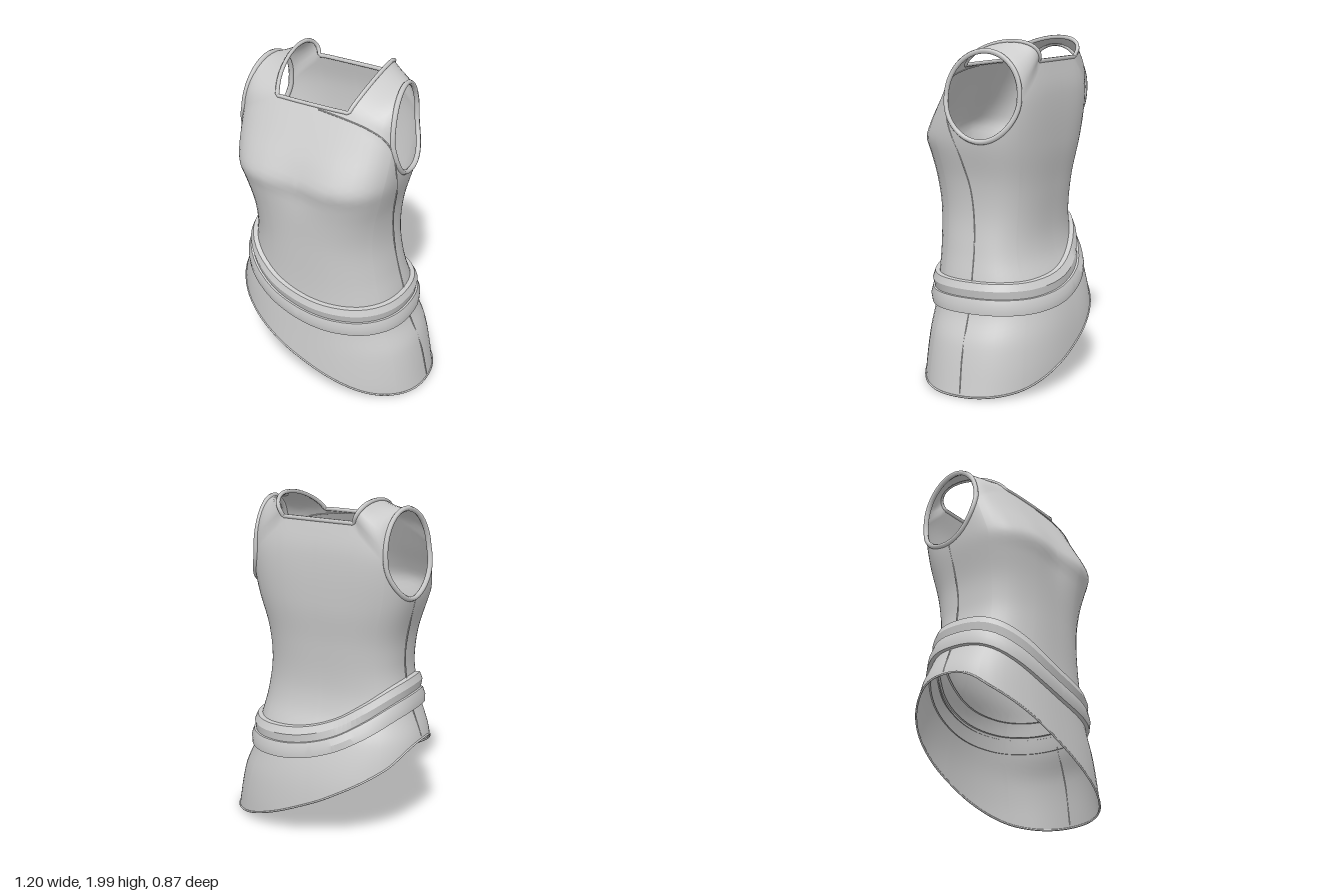
import * as THREE from 'three';
import { mergeVertices, mergeGeometries, toCreasedNormals } from 'three/addons/utils/BufferGeometryUtils.js';

const lerp = THREE.MathUtils.lerp;
const CX = -0.07; // torso axis

// Smooth curve through [y, value] knots, clamped at both ends
function knots(k) {
  const slope = (i) => {
    const a = k[Math.max(i - 1, 0)], b = k[Math.min(i + 1, k.length - 1)];
    return (b[1] - a[1]) / (b[0] - a[0]);
  };
  return (y) => {
    if (y <= k[0][0]) return k[0][1];
    if (y >= k[k.length - 1][0]) return k[k.length - 1][1];
    let i = 0;
    while (y > k[i + 1][0]) i++;
    const d = k[i + 1][0] - k[i][0], t = (y - k[i][0]) / d, u = 1 - t;
    return u * u * (1 + 2 * t) * k[i][1] + t * t * (3 - 2 * t) * k[i + 1][1]
      + d * t * u * (u * slope(i) - t * slope(i + 1));
  };
}

// Silhouettes by height
const leftX = knots([[0, 0.595], [0.3, 0.53], [0.46, 0.46], [0.65, 0.42], [0.8, 0.385], [1, 0.355], [1.2, 0.365], [1.45, 0.42], [1.7, 0.43], [1.9, 0.41]]);
const rightX = knots([[0.4, -0.61], [0.6, -0.595], [0.8, -0.52], [0.95, -0.485], [1.05, -0.478], [1.2, -0.49], [1.45, -0.55], [1.7, -0.56], [1.9, -0.54]]);
const frontZ = knots([[0, 0.43], [0.1, 0.432], [0.45, 0.405], [0.7, 0.388], [1, 0.39], [1.2, 0.4], [1.34, 0.417], [1.43, 0.435], [1.5, 0.405], [1.65, 0.315], [1.85, 0.2]]);
const backZ = knots([[0, -0.43], [0.18, -0.432], [0.4, -0.41], [0.62, -0.35], [0.75, -0.29], [0.9, -0.265], [1.15, -0.28], [1.4, -0.31], [1.7, -0.315], [1.9, -0.28]]);
const frontN = knots([[0, 2.3], [1, 2.5], [1.43, 3.3], [1.85, 3]]);
const backN = knots([[0, 2.3], [1, 2.6], [1.4, 3], [1.7, 4]]);
// Slanted lines by x
const hemY = knots([[-0.6, 0.6], [-0.5, 0.48], [-0.2, 0.3], [0, 0.205], [0.2, 0.12], [0.4, 0.05], [0.6, 0.012]]);
const beltY = knots([[-0.54, 0.88], [-0.48, 0.84], [-0.35, 0.74], [-0.2, 0.65], [0, 0.585], [0.25, 0.555], [0.45, 0.552]]);

// Point on the garment: side (+1 left, -1 right), angle from front (0) to back (PI), height
function skin(side, a, y, out = 0) {
  const c = Math.cos(a), s = Math.sin(a);
  const n = lerp(frontN(y), backN(y), (1 - c) / 2);
  const r = 1 / Math.pow(Math.abs(c) ** n + Math.abs(s) ** n, 1 / n);
  const w = side > 0 ? leftX(y) - CX : CX - rightX(y);
  const dip = c > 0 ? 0.025 * Math.exp(-((a / 0.3) ** 2) - ((y - 1.42) / 0.14) ** 2) : 0;
  const d = c > 0 ? frontZ(y) - dip : -backZ(y);
  return new THREE.Vector3(CX + side * (w * r + out) * s, y, (d * r + out) * c);
}

function bisect(inside, lo, hi) {
  for (let i = 0; i < 40; i++) {
    const m = (lo + hi) / 2;
    if (inside(m)) hi = m; else lo = m;
  }
  return hi;
}

// Height where a column meets a slanted line
function lineHeight(line, side, a, y) {
  for (let i = 0; i < 12; i++) y = lerp(y, line(skin(side, a, y).x), 0.6);
  return y;
}

// Surface from a table of points; columns run front to back, rows upward
function grid(cols, flip) {
  const h = cols[0].length, index = [];
  for (let i = 0; i < cols.length - 1; i++) for (let j = 0; j < h - 1; j++) {
    const a = i * h + j, b = a + h, c = b + 1, d = a + 1;
    index.push(...(flip ? [a, c, b, a, d, c] : [a, b, c, a, c, d]));
  }
  const g = new THREE.BufferGeometry().setFromPoints(cols.flat());
  g.setIndex(index);
  return g;
}

const NECK_F = 1.84, NECK_B = 1.88, ARM_Y = 1.69, ARM_F = 0.17, ARM_B = -0.265, ARM_H = 0.25;
const steps = (n) => Array.from({ length: n + 1 }, (_, i) => i / n);

// One half of the garment, with its edge lines
function half(side) {
  const across = (a, y) => Math.abs(skin(side, a, y).x - CX);
  const neckF = bisect((a) => across(a, NECK_F) > 0.22, 0, 1.5);
  const armF = bisect((a) => skin(side, a, ARM_Y).z < ARM_F, 0, 1.6);
  const armB = bisect((a) => skin(side, a, ARM_Y).z < ARM_B, 1.5, 3.1);
  const neckB = bisect((a) => across(a, NECK_B) < 0.22, 1.7, Math.PI);
  const zc = (ARM_F + ARM_B) / 2, zw = (ARM_F - ARM_B) / 2;
  const armHeight = (a) => bisect((y) => {
    const z = skin(side, a, y).z;
    return ((z - zc) / zw) ** 2 + ((y - ARM_Y) / ARM_H) ** 2 < 1;
  }, 1.3, ARM_Y);

  // Columns [angle, top height]: neck, strap, armhole, strap, neck
  const neck1 = steps(9).map((t) => [t * neckF, NECK_F]);
  const strap1 = steps(6).map((t) => [lerp(neckF, armF, t), lerp(NECK_F, ARM_Y, t)]);
  const arm = steps(20).map((t) => {
    const a = lerp(armF, armB, (1 - Math.cos(t * Math.PI)) / 2);
    return [a, t === 0 || t === 1 ? ARM_Y : armHeight(a)];
  });
  const strap2 = steps(6).map((t) => [lerp(armB, neckB, t), lerp(ARM_Y, NECK_B, t)]);
  const neck2 = steps(9).map((t) => [lerp(neckB, Math.PI, t), NECK_B]);
  const columns = [...neck1, ...strap1.slice(1), ...arm.slice(1), ...strap2.slice(1), ...neck2.slice(1)];
  const top = ([a, y]) => skin(side, a, y);

  const body = columns.map(([a, y1]) => {
    const y0 = lineHeight(hemY, side, a, 0.3);
    return steps(44).map((t) => skin(side, a, lerp(y0, y1, t)));
  });

  // Shoulder strap arching from front to back
  const strap = strap1.map((f, i) => {
    const p = top(f), q = top(strap2[6 - i]), s = i / 6;
    return steps(16).map((t) => {
      const up = Math.sin(t * Math.PI);
      const v = p.clone().lerp(q, (1 - Math.cos(t * Math.PI)) / 2);
      v.x += side * lerp(0.06, -0.015, s) * up;
      v.y += lerp(0.128, ARM_H, s ** 1.5) * up;
      v.z += lerp(-0.08, -0.01, s) * up;
      return v;
    });
  });
  const flip = side < 0;
  return {
    angles: columns.map((c) => c[0]),
    surfaces: [grid(body, flip), grid(strap, flip)],
    hem: body.map((c) => c[0]),
    armhole: [...arm.map(top), ...strap[6].slice(1, -1).reverse()],
    neck: [...neck1.map(top), ...strap[0].slice(1, -1), ...neck2.map(top)],
  };
}

export function createModel() {
  const group = new THREE.Group();
  const material = new THREE.MeshStandardMaterial({ color: 0xcccccc, side: THREE.DoubleSide });
  const add = (name, geometry) => {
    const mesh = new THREE.Mesh(geometry, material);
    mesh.name = name;
    group.add(mesh);
  };
  const tube = (name, points, radius, closed) => add(name, new THREE.TubeGeometry(
    new THREE.CatmullRomCurve3(points, closed, 'centripetal'), closed ? 140 : 60, radius, 6, closed));

  const L = half(1), R = half(-1);
  const ring = (key) => [...L[key], ...R[key].slice(1, -1).reverse()];

  // Sleeveless body with straps
  const body = mergeVertices(mergeGeometries([...L.surfaces, ...R.surfaces]), 1e-4);
  body.computeVertexNormals();
  add('topBody', body);

  // Bound edges
  tube('neckTrim', ring('neck'), 0.012, true);
  tube('hemTrim', ring('hem'), 0.006, true);
  tube('leftArmholeTrim', L.armhole, 0.015, true);
  tube('rightArmholeTrim', R.armhole, 0.015, true);

  // Slanted belt of two ridged bands: [height from middle, distance out]
  const bands = {
    upperBeltBand: [[0.095, -0.01], [0.09, 0.026], [0.05, 0.036], [0, 0.018], [-0.01, -0.01]],
    lowerBeltBand: [[0.01, -0.01], [0.002, 0.03], [-0.04, 0.036], [-0.085, 0.022], [-0.09, -0.01]],
  };
  for (const [name, profile] of Object.entries(bands)) {
    const halves = [[1, L], [-1, R]].map(([side, h]) => grid(h.angles.map((a) => {
      const y = lineHeight(beltY, side, a, 0.65);
      return profile.map(([dy, out]) => skin(side, a, y + dy, out)).reverse();
    }), side < 0));
    add(name, toCreasedNormals(mergeVertices(mergeGeometries(halves), 1e-4), 0.5));
  }

  // Seams: curved front panel edge, side seams above and below the belt
  const seam = (name, side, path) => tube(name, path.map(([deg, y]) => skin(side, deg * Math.PI / 180, y)), 0.004, false);
  seam('frontPanelSeam', 1, [[90, 0.62], [88, 0.9], [84, 1.15], [78, 1.35], [69, 1.52], [60, 1.65], [50, 1.73], [38, 1.78], [22, 1.81], [5, 1.825]]);
  seam('rightSideSeam', -1, [[90, 0.9], [90, 1.1], [92, 1.3], [94, 1.44]]);
  seam('leftSkirtSeam', 1, [[90, 0.48], [91, 0.25], [92, 0.03]]);
  seam('rightSkirtSeam', -1, [[90, 0.8], [90, 0.7], [90, 0.61]]);
  return group;
}
